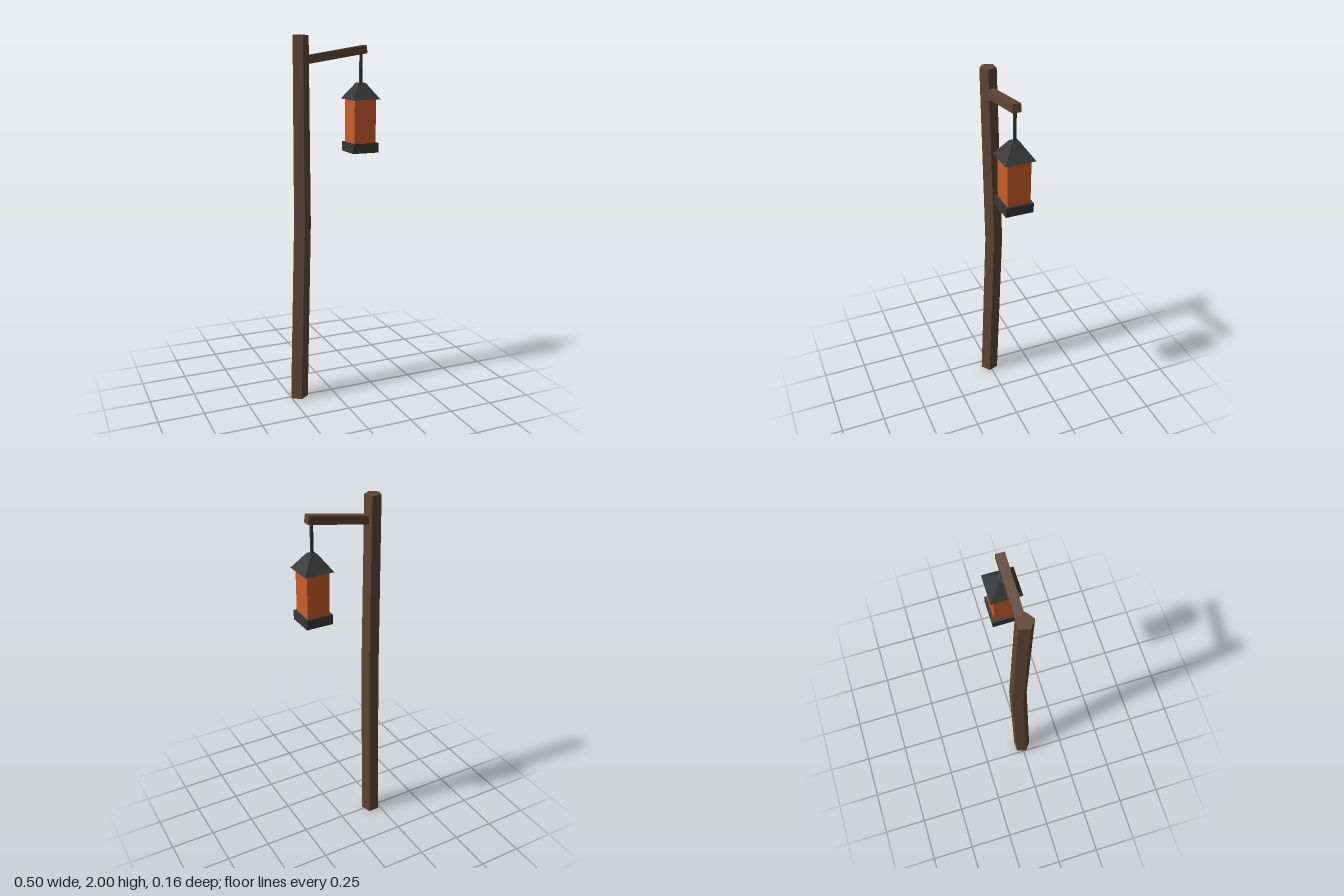
import * as THREE from 'three';

const material = (name, color) => {
  const m = new THREE.MeshStandardMaterial({ color, flatShading: true });
  m.name = name;
  return m;
};

export function createModel() {
  const wood = material('brown wood', 0x5f4535);
  const iron = material('dark iron', 0x383838);
  const glow = material('orange glass', 0xc95c2b);

  const model = new THREE.Group();
  model.name = 'lanternPost';

  const add = (parent, name, geometry, mat, x = 0, y = 0, z = 0) => {
    const mesh = new THREE.Mesh(geometry, mat);
    mesh.name = name;
    mesh.position.set(x, y, z);
    parent.add(mesh);
    return mesh;
  };

  // Crooked five-sided post: a unit cylinder bent through three rings
  const rings = [
    { x: -0.203, z: 0, r: 0.052 },
    { x: -0.167, z: -0.022, r: 0.05 },
    { x: -0.175, z: -0.001, r: 0.045 },
  ];
  const post = new THREE.CylinderGeometry(1, 1, 2, 5, 2);
  const p = post.attributes.position;
  for (let i = 0; i < p.count; i++) {
    const ring = rings[Math.round(p.getY(i) + 1)];
    p.setXYZ(i, p.getX(i) * ring.r + ring.x, p.getY(i) + 1, p.getZ(i) * ring.r + ring.z);
  }
  post.computeVertexNormals();
  add(model, 'post', post, wood);

  // Sloping arm, its inner end sunk into the post
  const arm = add(model, 'arm', new THREE.BoxGeometry(0.365, 0.043, 0.045), wood, 0.014, 1.9, 0);
  arm.rotation.z = 0.155;

  // Hanging lantern
  const lantern = new THREE.Group();
  lantern.name = 'lantern';
  lantern.position.set(0.17, 0, -0.001);
  model.add(lantern);
  add(lantern, 'hanger', new THREE.BoxGeometry(0.013, 0.18, 0.013), iron, 0, 1.835, 0);

  const roof = new THREE.CylinderGeometry(0.02 * Math.SQRT2, 0.081 * Math.SQRT2, 0.086, 4);
  roof.rotateY(Math.PI / 4);
  add(lantern, 'roof', roof, iron, 0, 1.709, 0);
  add(lantern, 'glass', new THREE.BoxGeometry(0.125, 0.236, 0.125), glow, 0, 1.55, 0);
  add(lantern, 'base', new THREE.BoxGeometry(0.15, 0.052, 0.15), iron, 0, 1.408, 0);

  return model;
}
